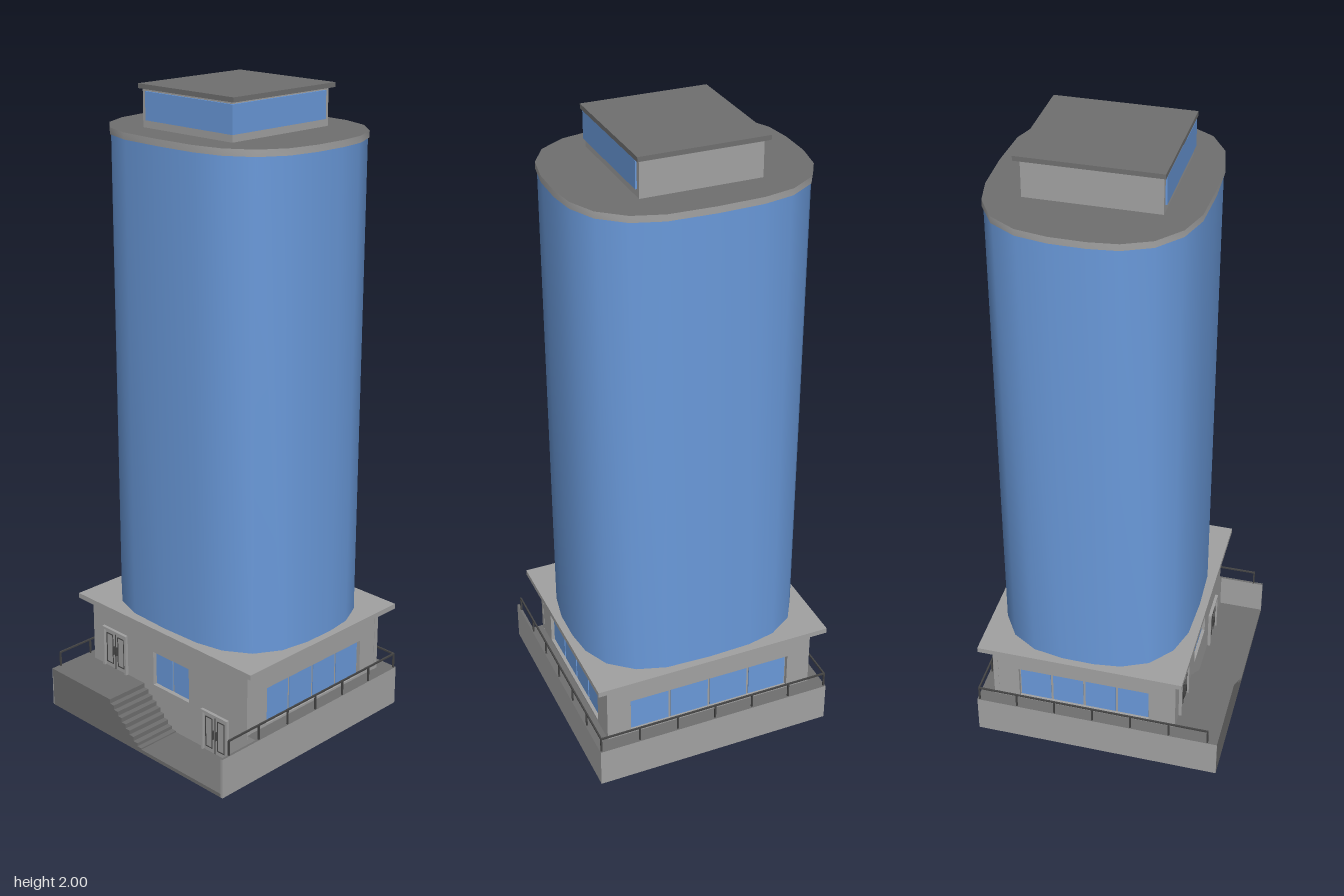
import * as THREE from 'three';
import { toCreasedNormals } from 'three/addons/utils/BufferGeometryUtils.js';

const material = (name, color) => {
  const m = new THREE.MeshStandardMaterial({ color });
  m.name = name;
  return m;
};

export function createModel() {
  const concrete = material('light concrete', 0xa2a2a2);
  const paving = material('dark paving', 0x707070);
  const glass = material('blue glass', 0x6a9adb);
  const metal = material('dark metal', 0x454545);
  const model = new THREE.Group();
  model.name = 'tower building';

  // Box given by its extents
  const box = (name, mat, x0, x1, y0, y1, z0, z1, parent = model) => {
    const mesh = new THREE.Mesh(new THREE.BoxGeometry(x1 - x0, y1 - y0, z1 - z0), mat);
    mesh.position.set((x0 + x1) / 2, (y0 + y1) / 2, (z0 + z1) / 2);
    mesh.name = name;
    parent.add(mesh);
    return mesh;
  };
  const darkTop = [concrete, concrete, paving, concrete, concrete, concrete];

  // Podium, sunken forecourt and its side walls
  box('podium', darkTop, -0.39, 0.39, 0, 0.13, -0.397, 0.25);
  box('forecourt', paving, -0.387, 0.382, 0, 0.012, 0.25, 0.397);
  box('rightForecourtWall', darkTop, 0.382, 0.39, 0, 0.13, 0.25, 0.397);
  box('leftForecourtWall', darkTop, -0.39, -0.386, 0, 0.13, 0.25, 0.397);

  // Raised entrance terrace with stairs
  const steps = 8, run = 0.0178, rise = 0.118 / steps;
  const profile = new THREE.Shape();
  profile.moveTo(-0.387, 0.012);
  profile.lineTo(-0.387, 0.13);
  for (let i = 0; i < steps; i++) {
    profile.lineTo(-0.107 + i * run, 0.13 - i * rise);
    profile.lineTo(-0.107 + i * run, 0.13 - (i + 1) * rise + (i === steps - 1 ? 0.004 : 0));
  }
  profile.lineTo(-0.107 + steps * run, 0.016);
  profile.lineTo(-0.107 + steps * run, 0.012);
  const stairs = new THREE.Mesh(
    new THREE.ExtrudeGeometry(profile, { depth: 0.148, bevelEnabled: false }), paving);
  stairs.position.z = 0.249;
  stairs.name = 'terraceAndStairs';
  model.add(stairs);

  // Lower storey: inner core and four walls with recessed windows
  box('lowerCore', concrete, -0.334, 0.334, 0.12, 0.35, -0.336, 0.236);
  const addWall = (name, angle, half, dist, y0, win) => {
    const side = new THREE.Group();
    side.name = name;
    side.position.z = -0.05;
    side.rotation.y = angle;
    const { u0, u1, v0, v1, panes } = win;
    const shape = new THREE.Shape([
      [-half, y0], [half, y0], [half, 0.35], [-half, 0.35]].map(p => new THREE.Vector2(...p)));
    shape.holes.push(new THREE.Path([
      [u0, v0], [u0, v1], [u1, v1], [u1, v0]].map(p => new THREE.Vector2(...p))));
    const wall = new THREE.Mesh(
      new THREE.ExtrudeGeometry(shape, { depth: 0.016, bevelEnabled: false }), concrete);
    wall.position.z = dist - 0.016;
    wall.name = 'wall';
    side.add(wall);
    const w = (u1 - u0) / panes;
    for (let i = 0; i < panes; i++) {
      box('windowPane', glass, u0 + i * w + 0.004, u0 + (i + 1) * w - 0.004,
        v0 + 0.003, v1 - 0.003, dist - 0.017, dist - 0.01, side);
    }
    model.add(side);
  };
  const sideWindow = { u0: -0.215, u1: 0.215, v0: 0.137, v1: 0.258, panes: 4 };
  addWall('frontWall', 0, 0.348, 0.301, 0.1, { u0: -0.064, u1: 0.097, v0: 0.142, v1: 0.258, panes: 2 });
  addWall('rightWall', Math.PI / 2, 0.3, 0.347, 0.1, sideWindow);
  addWall('leftWall', -Math.PI / 2, 0.3, 0.347, 0.1, sideWindow);
  addWall('backWall', Math.PI, 0.348, 0.3, 0.1, { ...sideWindow, u0: -0.27, u1: 0.27 });

  // Double doors: frame, two framed leaves and handles
  const addDoor = (name, x, y) => {
    const door = new THREE.Group();
    door.name = name;
    door.position.set(x, y, 0.251);
    for (const s of [-1, 1]) {
      const post = box('doorPost', concrete, -0.004, 0.004, 0, 0.138, 0, 0.01, door);
      post.position.x = s * 0.052;
      box('doorLeaf', concrete, s * 0.024 - 0.022, s * 0.024 + 0.022, 0, 0.128, 0, 0.003, door);
      for (const e of [-1, 1])
        box('leafStile', metal, s * 0.026 + e * 0.014 - 0.0012, s * 0.026 + e * 0.014 + 0.0012,
          0.014, 0.118, 0.003, 0.005, door);
      for (const v of [0.014, 0.116])
        box('leafRail', metal, s * 0.026 - 0.014, s * 0.026 + 0.014, v, v + 0.0024, 0.003, 0.005, door);
      box('handle', metal, s * 0.006 - 0.002, s * 0.006 + 0.002, 0.05, 0.08, 0.003, 0.01, door);
    }
    box('doorLintel', concrete, -0.056, 0.056, 0.13, 0.138, 0, 0.01, door);
    box('doorGap', metal, -0.0012, 0.0012, 0, 0.128, 0, 0.004, door);
    model.add(door);
  };
  addDoor('upperDoor', -0.24, 0.131);
  addDoor('lowerDoor', 0.215, 0.012);

  // Railings round the sides and back of the podium
  const r = 0.0025;
  for (const s of [-1, 1]) {
    const x = s * 0.385;
    box('sideHandrail', metal, x - r, x + r, 0.176, 0.181, -0.392, 0.367);
    for (let i = 0; i <= 6; i++) {
      const z = 0.365 - i * 0.1258;
      box('railPost', metal, x - r, x + r, 0.13, 0.178, z - r, z + r);
    }
  }
  box('backHandrail', metal, -0.385, 0.385, 0.176, 0.181, -0.3925, -0.3875);
  for (let i = 1; i < 6; i++) {
    const x = -0.385 + i * 0.77 / 6;
    box('railPost', metal, x - r, x + r, 0.13, 0.178, -0.3925, -0.3875);
  }

  // Slab over the lower storey
  box('lowerRoofSlab', concrete, -0.387, 0.387, 0.343, 0.36, -0.385, 0.278);

  // Rounded tower plan: half the outline, repeated by a half turn
  const half = [[0.01, 0.311], [0.153, 0.305], [0.245, 0.276], [0.319, 0.214], [0.357, 0.131],
    [0.368, 0.045], [0.367, -0.06], [0.35, -0.155], [0.302, -0.235], [0.222, -0.286], [0.13, -0.306]];
  const outline = [...half, ...half.map(([x, y]) => [-x, -y])];
  const addPlan = (name, mats, scale, y0, y1) => {
    const shape = new THREE.Shape(outline.map(([x, y]) => new THREE.Vector2(x * scale, y * scale)));
    let geo = new THREE.ExtrudeGeometry(shape, { depth: y1 - y0, bevelEnabled: false });
    geo.rotateX(-Math.PI / 2);
    geo = toCreasedNormals(geo, 0.8);
    const mesh = new THREE.Mesh(geo, mats);
    mesh.position.set(0, y0, -0.055);
    mesh.name = name;
    model.add(mesh);
  };
  addPlan('glassTower', glass, 0.988, 0.355, 1.86);
  addPlan('towerRoof', [paving, concrete], 1, 1.855, 1.875);

  // Penthouse with glazing on the front and right
  box('penthouse', concrete, -0.18, 0.182, 1.87, 1.986, -0.243, 0.15);
  box('penthouseFrontGlass', glass, -0.165, 0.186, 1.897, 1.98, 0.148, 0.155);
  box('penthouseRightGlass', glass, 0.18, 0.187, 1.897, 1.98, -0.228, 0.155);
  box('penthouseRoof', paving, -0.192, 0.193, 1.986, 2, -0.26, 0.157);
  return model;
}
